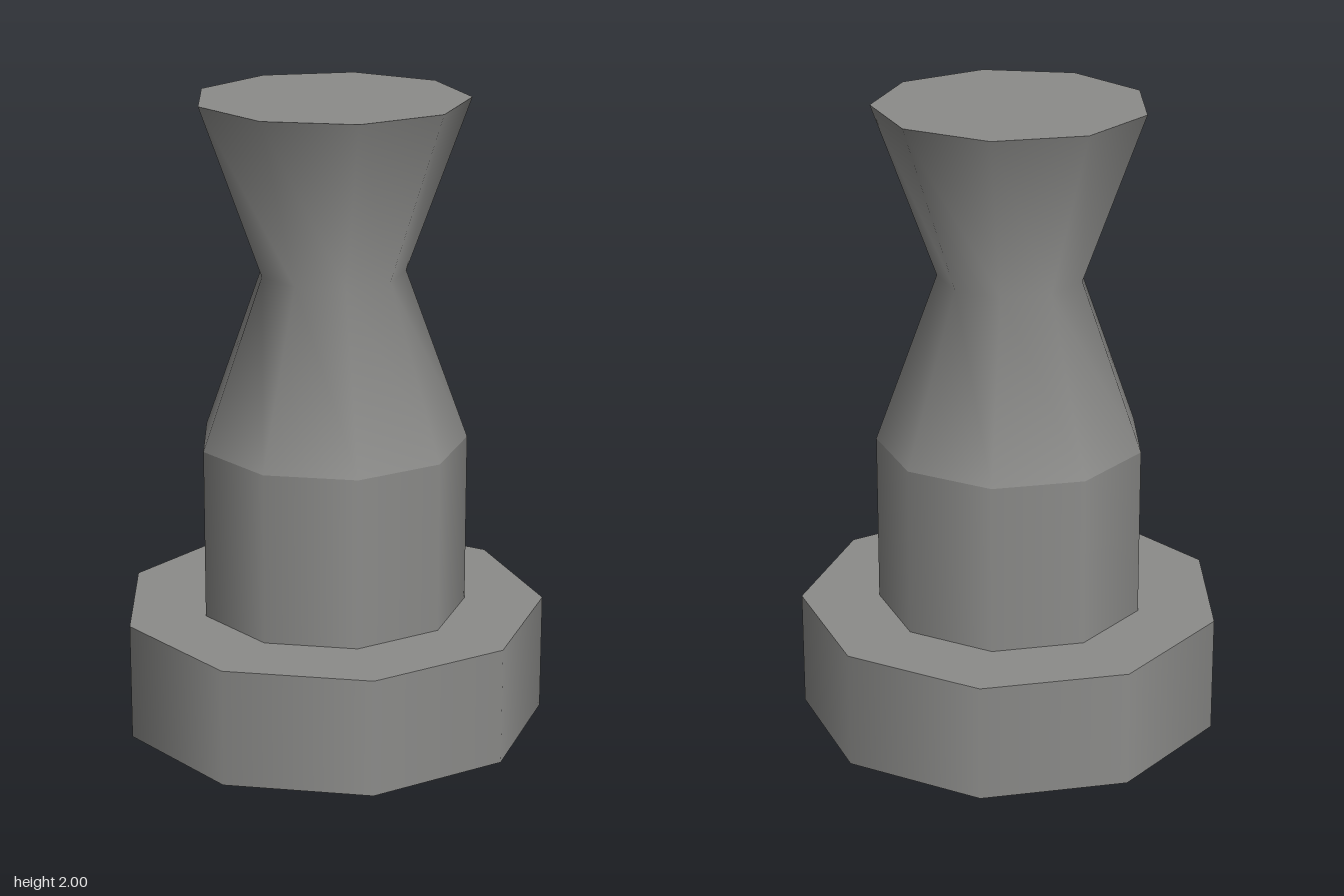
import * as THREE from 'three';

const SIDES = 9;
const TURN = THREE.MathUtils.degToRad(13.75); // rotates the nonagon to its heading

export function createModel() {
  const model = new THREE.Group();
  model.name = 'pedestal';
  const grey = new THREE.MeshStandardMaterial({ color: 0x8c8c8a, side: THREE.DoubleSide });
  grey.name = 'grey';

  // Each part is a nine-sided lathe of [radius, height] points; separate parts keep their shared edges sharp
  const addPart = (name, profile) => {
    const points = profile.map(([r, y]) => new THREE.Vector2(r, y));
    const mesh = new THREE.Mesh(new THREE.LatheGeometry(points, SIDES, TURN), grey);
    mesh.name = name;
    mesh.position.set(-0.014, 0, 0.005);
    model.add(mesh);
  };

  // Broad base, open underneath
  addPart('baseWall', [[0.675, 0], [0.675, 0.375]]);
  addPart('baseTop', [[0.675, 0.375], [0, 0.375]]);

  // Straight column, then the pinched neck and its flat top
  addPart('column', [[0.425, 0.375], [0.425, 0.92]]);
  addPart('neck', [[0.425, 0.92], [0.229, 1.46], [0.425, 2]]);
  addPart('neckTop', [[0.425, 2], [0, 2]]);

  return model;
}
